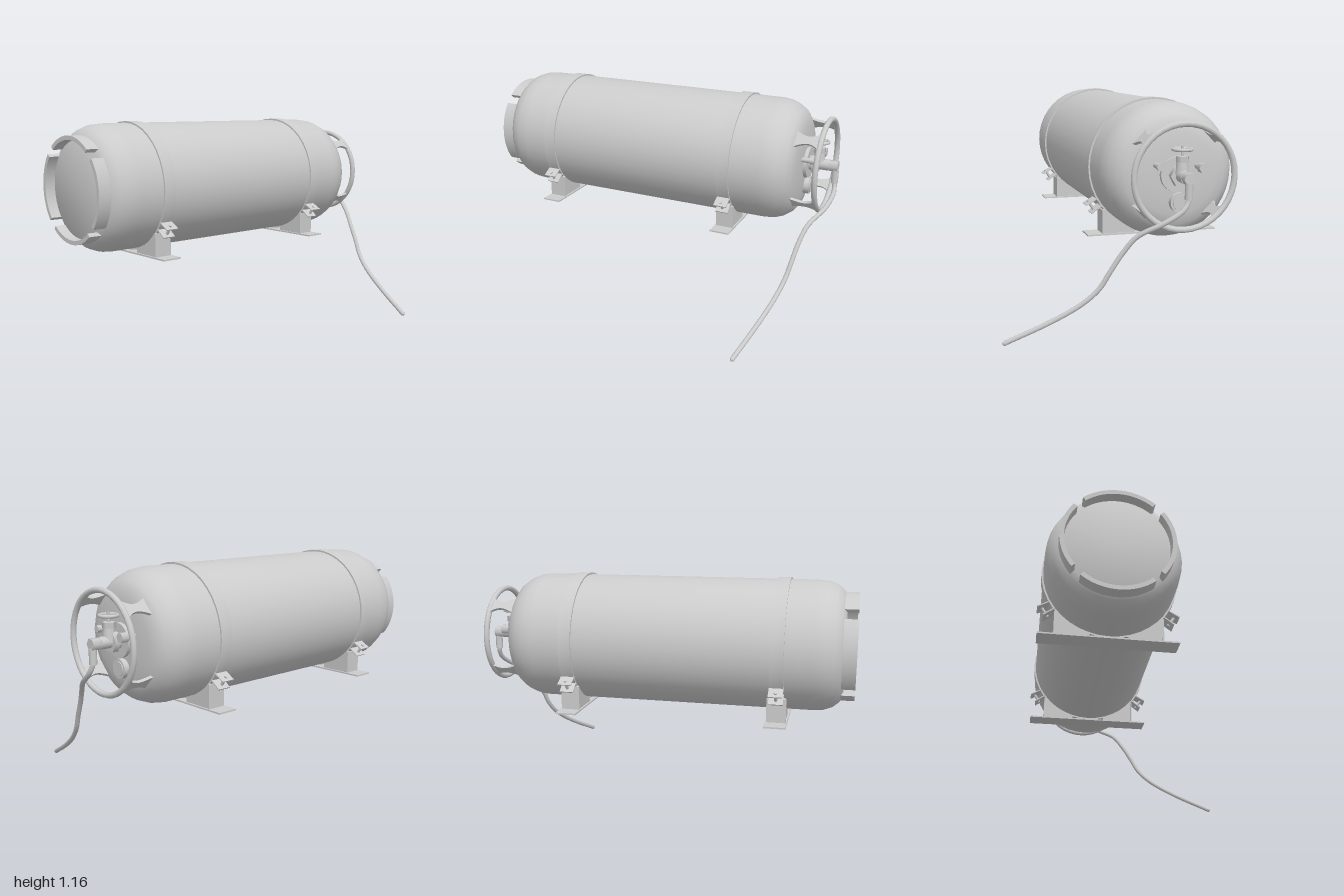
import * as THREE from 'three';
import { toCreasedNormals } from 'three/addons/utils/BufferGeometryUtils.js';

const CY = 0.812, CZ = -0.237, R = 0.335;
const mat = new THREE.MeshStandardMaterial({ color: 0xcccccc, side: THREE.DoubleSide });
const V = (x, y, z) => new THREE.Vector3(x, y, z);

function add(parent, name, geo, x = 0, y = 0, z = 0) {
  const m = new THREE.Mesh(geo, mat);
  m.name = name;
  m.position.set(x, y, z);
  parent.add(m);
  return m;
}

// Lathe about the x axis from [x, radius] pairs
function turned(profile, seg) {
  const g = new THREE.LatheGeometry(profile.map(([x, r]) => new THREE.Vector2(r, x)), seg);
  return toCreasedNormals(g.rotateZ(-Math.PI / 2), 0.6);
}

// Cylinder along x from x0 to x1
function rod(parent, name, x0, x1, r, y = 0, z = 0, seg = 16) {
  const g = new THREE.CylinderGeometry(r, r, x1 - x0, seg).rotateZ(-Math.PI / 2);
  return add(parent, name, g, (x0 + x1) / 2, y, z);
}

// Shape drawn in (-z, y), extruded along x
function slab(shape, depth) {
  return new THREE.ExtrudeGeometry(shape, { depth, bevelEnabled: false, curveSegments: 16 })
    .rotateY(Math.PI / 2);
}

function buildEnds(tank) {
  // Slotted foot ring in four arcs
  for (let i = 0; i < 4; i++) {
    const a = i * Math.PI / 2 - 0.68, b = a + 1.36;
    const s = new THREE.Shape();
    s.absarc(0, 0, 0.277, a, b, false);
    s.absarc(0, 0, 0.255, b, a, true);
    add(tank, 'footRing', toCreasedNormals(slab(s, 0.09), 0.6), -1, 0, 0);
  }
  // Guard ring on four flared brackets
  add(tank, 'guardRing', new THREE.TorusGeometry(0.247, 0.015, 10, 40).rotateY(Math.PI / 2), 0.925);
  const f = new THREE.Shape();
  f.moveTo(0.77, -0.06);
  f.quadraticCurveTo(0.83, -0.022, 0.86, -0.022);
  f.quadraticCurveTo(0.895, -0.022, 0.92, -0.05);
  f.lineTo(0.92, 0.05);
  f.quadraticCurveTo(0.895, 0.022, 0.86, 0.022);
  f.quadraticCurveTo(0.83, 0.022, 0.77, 0.06);
  for (let i = 0; i < 4; i++) {
    const g = new THREE.ExtrudeGeometry(f, { depth: 0.014, bevelEnabled: false, curveSegments: 6 });
    g.translate(0, 0, 0.24).rotateX(Math.PI / 4 + i * Math.PI / 2);
    add(tank, 'guardBracket', g);
  }
}

function buildValve(tank) {
  const v = new THREE.Group();
  v.name = 'valve';
  tank.add(v);
  rod(v, 'flange', 0.81, 0.838, 0.085, 0, 0, 28);
  rod(v, 'neck', 0.83, 0.86, 0.04);
  rod(v, 'hexNut', 0.855, 0.885, 0.054, 0, 0, 6);
  rod(v, 'body', 0.87, 0.945, 0.03);
  rod(v, 'outletNut', 0.945, 0.99, 0.03, 0, 0, 6);
  // Bonnet, stem and handwheel stand upright
  add(v, 'bonnet', new THREE.CylinderGeometry(0.025, 0.033, 0.07, 12), 0.885, 0.045);
  add(v, 'bonnetNut', new THREE.CylinderGeometry(0.032, 0.032, 0.028, 6), 0.885, 0.08);
  add(v, 'stem', new THREE.CylinderGeometry(0.008, 0.008, 0.065, 8), 0.885, 0.108);
  add(v, 'handwheelRim', new THREE.TorusGeometry(0.044, 0.008, 8, 20).rotateX(Math.PI / 2), 0.885, 0.125);
  for (let i = 0; i < 2; i++) {
    const spoke = new THREE.BoxGeometry(0.085, 0.007, 0.012).rotateY(Math.PI / 4 + i * Math.PI / 2);
    add(v, 'handwheelSpoke', spoke, 0.885, 0.125);
  }
  // Fittings around the flange
  rod(v, 'smallPlug', 0.8, 0.885, 0.013, 0.045, 0.105, 10);
  rod(v, 'smallPlugHead', 0.862, 0.885, 0.018, 0.045, 0.105, 10);
  rod(v, 'reliefStem', 0.8, 0.87, 0.015, 0.035, -0.105, 10);
  rod(v, 'reliefCap', 0.86, 0.9, 0.025, 0.035, -0.105, 6);
  rod(v, 'gauge', 0.8, 0.845, 0.048, -0.135, -0.012, 20);
  rod(v, 'gaugeFace', 0.84, 0.85, 0.038, -0.135, -0.012, 20);
}

// Strap, saddle foot and clamp flanges at one position along the tank
function buildMount(tank, x) {
  const m = new THREE.Group();
  m.name = 'mount';
  m.position.x = x;
  tank.add(m);
  add(m, 'strap', turned([[-0.034, R - 0.01], [-0.034, 0.344], [0.034, 0.344], [0.034, R - 0.01]], 40));
  add(m, 'basePlate', new THREE.BoxGeometry(0.108, 0.008, 0.7), 0, -0.352, 0);
  const arc = z => -Math.sqrt(0.34 ** 2 - z * z);
  for (const side of [-1, 1]) {
    // Webs cut to the curve of the tank
    const s = new THREE.Shape();
    s.moveTo(0.095 * side, -0.35);
    s.lineTo(0.27 * side, -0.35);
    s.lineTo(0.27 * side, -0.225);
    for (let i = 0; i <= 6; i++) {
      const z = 0.258 - i * 0.163 / 6;
      s.lineTo(z * side, arc(z));
    }
    for (const wx of [-0.044, 0.034]) add(m, 'saddleWeb', slab(s, 0.01), wx);
    add(m, 'saddleEnd', new THREE.BoxGeometry(0.098, 0.125, 0.008), 0, -0.2875, 0.267 * side);
    // Paired radial flanges and a bolt through them
    for (const a of [0.51, 0.64]) {
      const g = new THREE.BoxGeometry(0.072, 0.006, 0.075).translate(0, 0, 0.368).rotateX(a);
      if (side < 0) g.rotateY(Math.PI);
      add(m, 'clampFlange', g);
    }
    const bolt = new THREE.CylinderGeometry(0.008, 0.008, 0.07, 8).translate(0, 0, 0.38).rotateX(0.575);
    if (side < 0) bolt.rotateY(Math.PI);
    add(m, 'clampBolt', bolt);
  }
}

export function createModel() {
  const root = new THREE.Group();
  root.name = 'gasTank';
  const tank = new THREE.Group();
  tank.name = 'tankAssembly';
  tank.position.set(0, CY, CZ);
  root.add(tank);

  // Shell with a flat rear end and a shallow domed valve end
  add(tank, 'shell', turned([
    [-0.945, 0], [-0.945, 0.255], [-0.925, 0.288], [-0.895, 0.313], [-0.85, 0.33], [-0.79, R],
    [0.64, R], [0.69, 0.329], [0.735, 0.312], [0.775, 0.283], [0.798, 0.25], [0.81, 0.2],
    [0.817, 0.13], [0.822, 0],
  ], 40));
  buildEnds(tank);
  buildValve(tank);
  for (const x of [-0.625, 0.453]) buildMount(tank, x);

  // Hose hanging from the valve outlet
  const path = new THREE.CatmullRomCurve3([
    V(0.965, 0.812, -0.237), V(0.977, 0.79, -0.237), V(0.979, 0.715, -0.235), V(0.984, 0.67, -0.21),
    V(0.965, 0.61, -0.125), V(0.905, 0.54, -0.015), V(0.878, 0.46, 0.045), V(0.862, 0.37, 0.1),
    V(0.847, 0.29, 0.145), V(0.825, 0.215, 0.22), V(0.785, 0.125, 0.36), V(0.722, 0.012, 0.581),
  ], false, 'centripetal');
  add(root, 'hose', new THREE.TubeGeometry(path, 60, 0.0125, 10));
  add(root, 'hoseEnd', new THREE.SphereGeometry(0.012, 10, 8), 0.722, 0.012, 0.581);
  add(root, 'hoseFerrule', new THREE.CylinderGeometry(0.019, 0.019, 0.075, 12), 0.977, 0.755, -0.236);
  return root;
}
